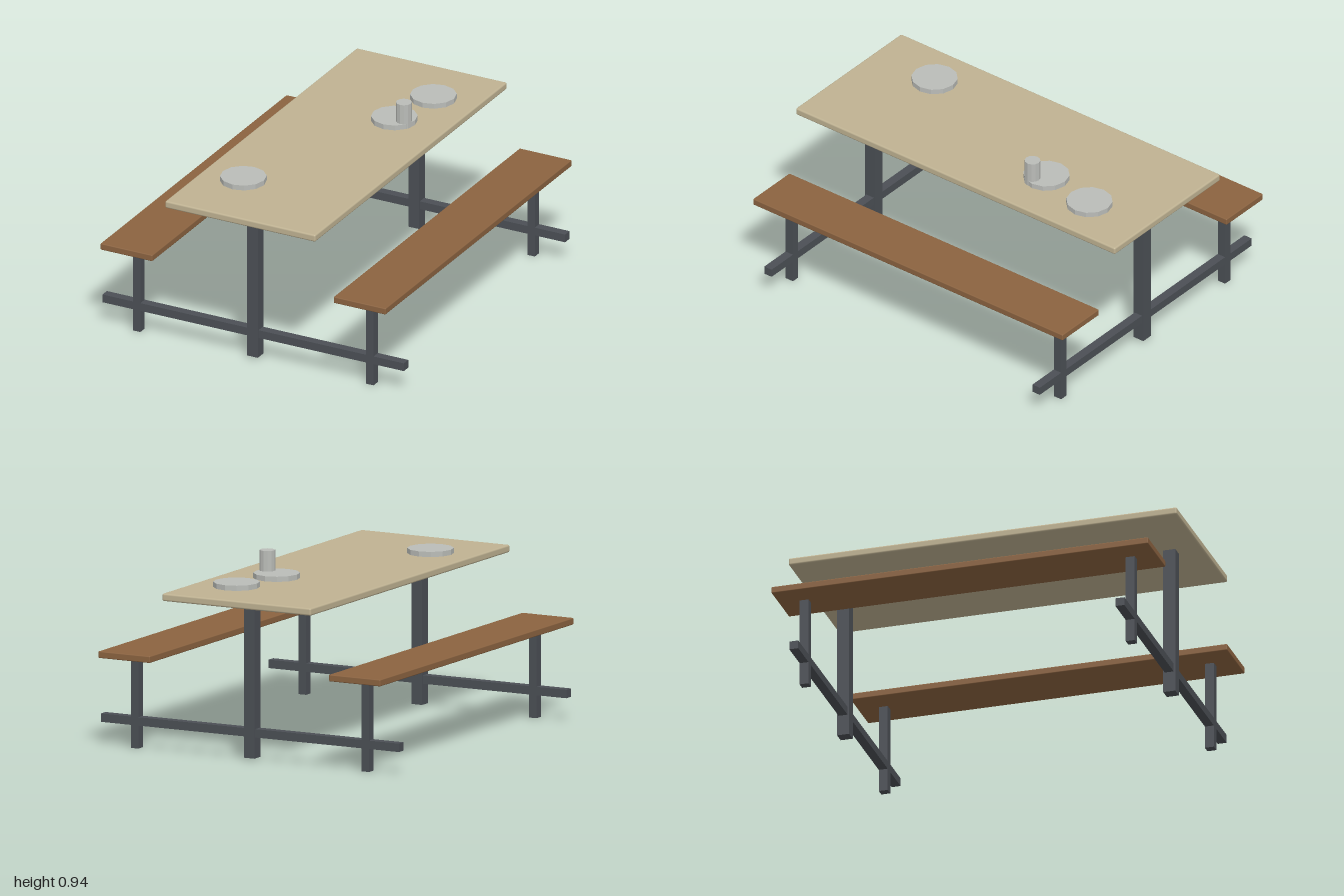
import * as THREE from 'three';
import { RoundedBoxGeometry } from 'three/addons/geometries/RoundedBoxGeometry.js';

const material = (name, color) => {
  const m = new THREE.MeshStandardMaterial({ color });
  m.name = name;
  return m;
};

export function createModel() {
  const tan = material('tan top', 0xbfb292);
  const brown = material('brown wood', 0x8b6340);
  const steel = material('dark steel', 0x4b4f55);
  const ceramic = material('pale grey', 0xbabcb8);
  ceramic.flatShading = true;

  const model = new THREE.Group();
  model.name = 'picnicTable';
  const add = (name, geometry, mat, x, y, z) => {
    const mesh = new THREE.Mesh(geometry, mat);
    mesh.name = name;
    mesh.position.set(x, y, z);
    model.add(mesh);
    return mesh;
  };

  // Table top and the two benches, with softened edges
  add('tableTop', new RoundedBoxGeometry(0.838, 0.038, 2, 2, 0.009), tan, 0, 0.797, 0);
  for (const side of [-1, 1]) {
    add('bench', new RoundedBoxGeometry(0.29, 0.034, 1.94, 2, 0.005), brown, side * 0.65, 0.472, 0);
  }

  // Two end frames: centre post, crossbar and a post under each bench
  for (const end of [-1, 1]) {
    const z = end * 0.84;
    add('centrePost', new THREE.BoxGeometry(0.06, 0.775, 0.062), steel, 0, 0.3975, z);
    add('crossbar', new THREE.BoxGeometry(1.68, 0.042, 0.046), steel, 0, 0.136, z);
    for (const side of [-1, 1]) {
      add('benchPost', new THREE.BoxGeometry(0.042, 0.46, 0.046), steel, side * 0.65, 0.23, z);
    }
  }

  // Plates, and a cup standing at the edge of one
  for (const [x, z] of [[0.19, -0.66], [0.138, -0.35], [-0.19, 0.61]]) {
    add('plate', new THREE.CylinderGeometry(0.115, 0.115, 0.028, 12), ceramic, x, 0.828, z);
  }
  add('cup', new THREE.CylinderGeometry(0.039, 0.039, 0.13, 12), ceramic, 0.208, 0.88, -0.318);

  return model;
}
